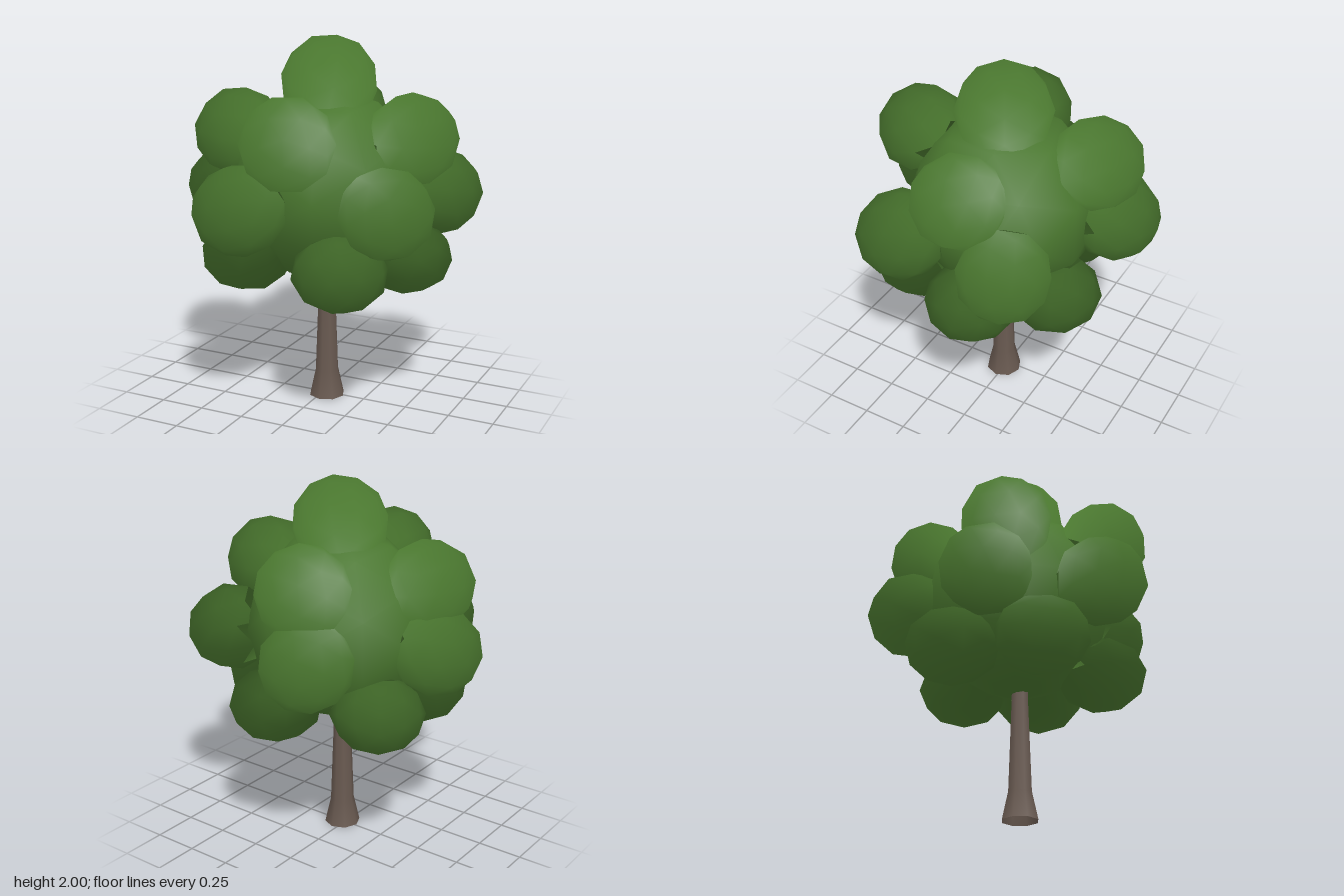
import * as THREE from 'three';

export function createModel() {
  const tree = new THREE.Group();
  tree.name = 'tree';
  const leaf = new THREE.MeshStandardMaterial({ name: 'leafGreen', color: 0x4a772f });
  const bark = new THREE.MeshStandardMaterial({ name: 'barkBrown', color: 0x685950, side: THREE.DoubleSide });

  // Tapered trunk with a flared foot, open underneath
  const profile = [[0.1, 0], [0.066, 0.15], [0.047, 0.66], [0.044, 0.85]];
  const trunk = new THREE.Mesh(
    new THREE.LatheGeometry(profile.map(([r, y]) => new THREE.Vector2(r, y)), 8), bark);
  trunk.name = 'trunk';
  trunk.position.set(0.027, 0, 0.01);
  tree.add(trunk);

  // Every leaf mass is a faceted ball; its normals lean away from the middle of
  // the crown, so that all the masses shade as one soft volume
  const centre = new THREE.Vector3(0.02, 1.21, 0);
  function addBall(name, at, radius, squash = 1, tilt = 0, turn = 0) {
    const geometry = new THREE.IcosahedronGeometry(radius, 1);
    geometry.rotateX(tilt);
    geometry.rotateY(turn);
    geometry.scale(1, squash, 1);
    const offset = new THREE.Vector3(...at);
    const { position, normal } = geometry.attributes;
    const own = new THREE.Vector3();
    const v = new THREE.Vector3();
    for (let i = 0; i < position.count; i++) {
      own.fromBufferAttribute(normal, i);
      v.fromBufferAttribute(position, i).add(offset).sub(centre).normalize();
      v.lerp(own, 0.2).normalize();
      normal.setXYZ(i, v.x, v.y, v.z);
    }
    const ball = new THREE.Mesh(geometry, leaf);
    ball.name = name;
    ball.position.copy(offset);
    tree.add(ball);
  }

  // Core of the crown, and the top cluster with a flat facet upwards
  addBall('crownCore', centre.toArray(), 0.52, 1.02, 0, 0.3);
  addBall('topCluster', [0.035, 1.76, 0], 0.258, 1, -0.365);

  // Clusters in tiers around the core
  const tiers = [
    { name: 'upperCluster', radius: 0.245, squash: 1, at: [
      [0.04, 1.51, 0.495], [-0.447, 1.48, 0.12], [0.507, 1.49, -0.01], [-0.09, 1.525, -0.475]] },
    { name: 'middleCluster', radius: 0.246, squash: 0.97, at: [
      [-0.205, 1.16, 0.555], [0.51, 1.17, 0.335], [0.55, 1.165, -0.29],
      [-0.17, 1.18, -0.555], [-0.545, 1.16, 0.05]] },
    { name: 'lowerCluster', radius: 0.252, squash: 0.8, at: [
      [0.28, 0.845, 0.39], [-0.32, 0.85, 0.27], [-0.365, 0.85, -0.21],
      [0.175, 0.835, -0.385], [0.467, 0.85, -0.05]] },
  ];
  tiers.forEach(({ name, radius, squash, at }, t) => at.forEach((p, i) => {
    const turn = (t + 1) * 0.4 + i * 1.3;
    addBall(name + (i + 1), p, radius, squash, turn * 0.7, turn);
  }));

  return tree;
}
